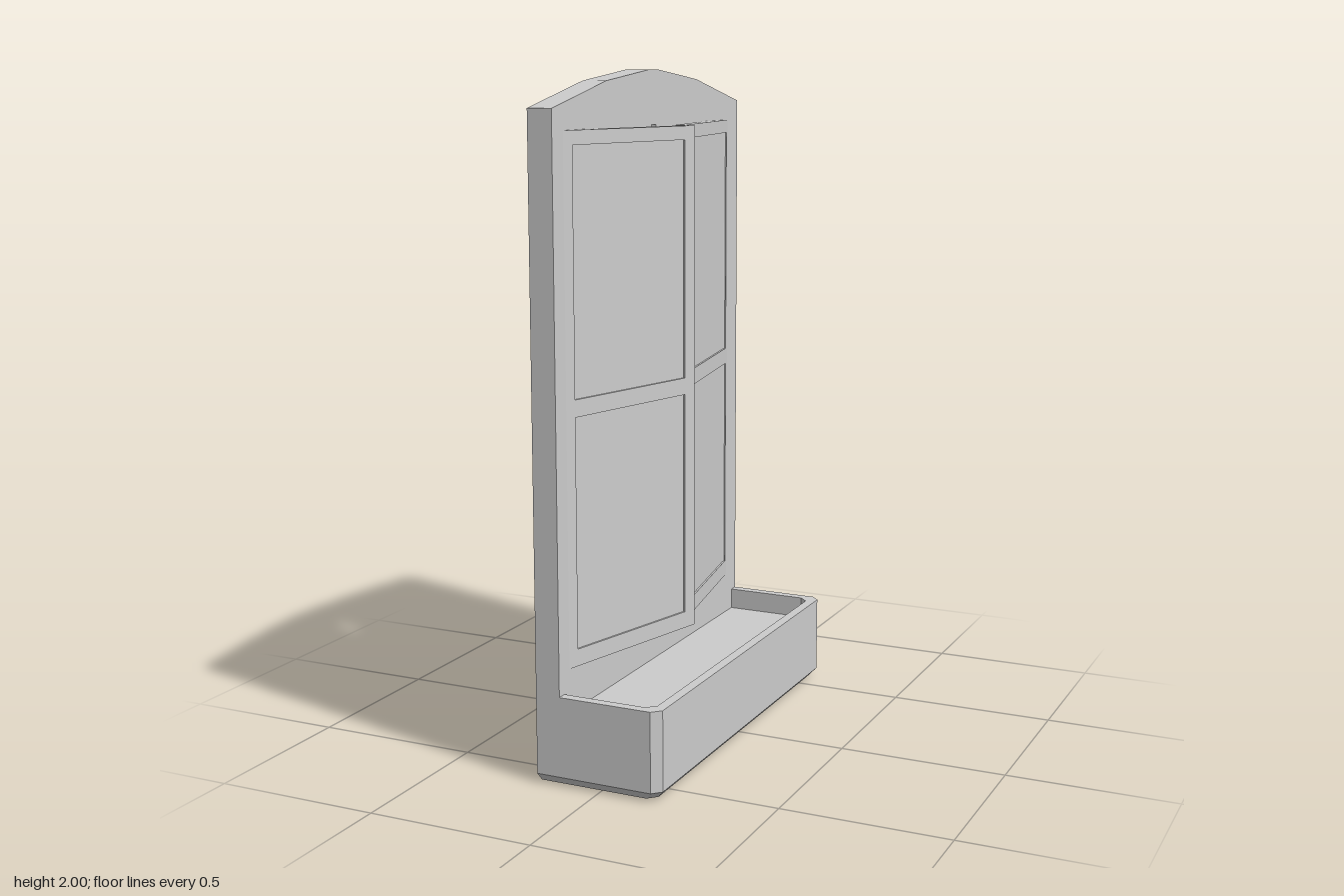
import * as THREE from 'three';

const material = new THREE.MeshStandardMaterial({ color: 0xcccccc, flatShading: true, side: THREE.DoubleSide });
const W = 0.617, BACK = -0.195, FACE = -0.12, FRONT = 0.19;
const LOW = 0.33, HIGH = 1.84;

function add(parent, geometry, name) {
  const mesh = new THREE.Mesh(geometry, material);
  mesh.name = name;
  parent.add(mesh);
  return mesh;
}

function rect(Type, x0, x1, y0, y1) {
  return new Type([[x0, y0], [x1, y0], [x1, y1], [x0, y1]].map(p => new THREE.Vector2(...p)));
}

function extrude(shape, depth, z) {
  return new THREE.ExtrudeGeometry(shape, { depth, bevelEnabled: false }).translate(0, 0, z);
}

// Outline of the arched wall, pulled in by a margin
function archPoints(m) {
  const top = [[W, 1.9], [0.3, 1.97], [0.03, 2], [-0.03, 2], [-0.3, 1.97], [-W, 1.9]];
  const pts = [[-W + m, 0.262 + m], [W - m, 0.262 + m]];
  for (const [x, y] of top) pts.push([x * (W - m) / W, y - m]);
  return pts.map(p => new THREE.Vector2(...p));
}

// Trough with chamfered corners, lofted from the base over the rim to the floor
function planterGeometry() {
  const loop = (y, inset, back) => {
    const w = W - inset, f = FRONT - inset, c = 0.026;
    return [[back, -w], [f - c, -w], [f, c - w], [f, w - c], [f - c, w], [back, w]]
      .map(([x, z]) => [x, y, z]);
  };
  const loops = [
    loop(0, 0.026, BACK), loop(0.028, 0, BACK), loop(0.265, 0, BACK),
    loop(0.265, 0.03, FACE), loop(0.2, 0.03, FACE),
  ];
  const out = [];
  const tri = (...points) => points.forEach(p => out.push(...p));
  for (let k = 0; k < loops.length - 1; k++) {
    const a = loops[k], b = loops[k + 1];
    for (let i = 0; i < 6; i++) {
      const j = (i + 1) % 6;
      tri(a[i], b[i], b[j]);
      tri(a[i], b[j], a[j]);
    }
  }
  const base = loops[0], floor = loops[4];
  for (let i = 1; i < 5; i++) {
    tri(base[0], base[i], base[i + 1]);
    tri(floor[0], floor[i + 1], floor[i]);
  }
  const g = new THREE.BufferGeometry();
  g.setAttribute('position', new THREE.Float32BufferAttribute(out, 3));
  g.computeVertexNormals();
  return g;
}

// Half-open shutter: slab with a framed front; side +1 hinges at +z
function shutter(side, angle, tipX, tipZ, name) {
  const L = 0.575, T = 0.031, D = 0.006;
  const group = new THREE.Group();
  group.name = name;
  const span = (a, b) => side > 0 ? [a, b] : [-b, -a];
  const whole = span(0, L), field = span(0.055, L - 0.045);
  add(group, extrude(rect(THREE.Shape, ...whole, LOW, HIGH), T - D, -T), name + 'Slab');
  const frame = rect(THREE.Shape, ...whole, LOW, HIGH);
  for (const [y0, y1] of [[0.38, 1.05], [1.1, 1.8]]) {
    frame.holes.push(rect(THREE.Path, ...field, y0, y1));
  }
  add(group, extrude(frame, D, -D), name + 'Frame');
  group.rotation.y = Math.PI / 2 - side * angle;
  group.position.set(tipX - L * Math.sin(angle), 0, tipZ + side * L * Math.cos(angle));
  return group;
}

export function createModel() {
  const model = new THREE.Group();
  model.name = 'windowWithPlanter';

  add(model, planterGeometry(), 'planter');

  // Arched wall: thin rim open at the back, and a face sheet with a centre slot
  const wall = new THREE.Group();
  wall.name = 'archedWall';
  wall.rotation.y = Math.PI / 2;
  const rim = new THREE.Shape(archPoints(0));
  rim.holes.push(new THREE.Path(archPoints(0.004)));
  add(wall, extrude(rim, FACE - BACK, BACK), 'wallRim');
  const sheet = new THREE.Shape(archPoints(0.002));
  sheet.holes.push(rect(THREE.Path, -0.015, 0.015, LOW, HIGH));
  add(wall, extrude(sheet, 0.004, FACE - 0.004), 'wallFace');

  // Closed panels on the rear of the face
  for (const s of [-1, 1]) {
    const panel = new THREE.BoxGeometry(0.575, HIGH - LOW, 0.03);
    panel.translate(s * 0.3025, (HIGH + LOW) / 2, FACE - 0.017);
    add(wall, panel, s < 0 ? 'leftRearPanel' : 'rightRearPanel');
  }
  model.add(wall);

  model.add(shutter(1, 0.258, 0.022, 0.018, 'leftShutter'));
  model.add(shutter(-1, 0.183, -0.022, -0.012, 'rightShutter'));
  return model;
}
